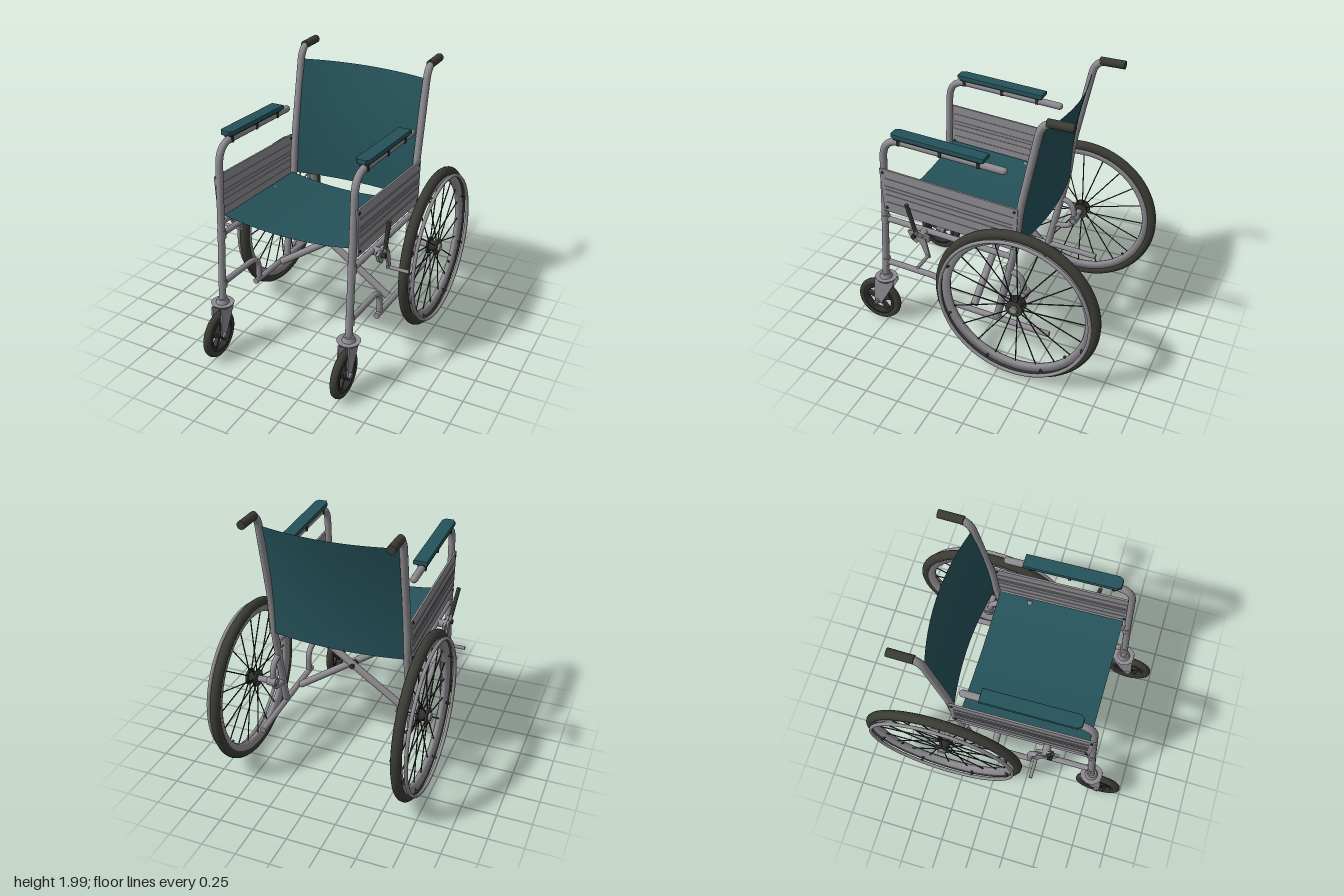
import * as THREE from 'three';

const mat = (name, color, side = THREE.FrontSide) => {
  const m = new THREE.MeshStandardMaterial({ color, side });
  m.name = name;
  return m;
};
const V = (x, y, z) => new THREE.Vector3(x, y, z);

export function createModel() {
  const steel = mat('greySteel', 0x8e8c91);
  const teal = mat('tealVinyl', 0x25525a, THREE.DoubleSide);
  const rubber = mat('darkRubber', 0x3b3b35);
  const dark = mat('darkMetal', 0x2f3032);
  const model = new THREE.Group();
  model.name = 'wheelchair';

  const add = (parent, name, geo, material, x = 0, y = 0, z = 0) => {
    const m = new THREE.Mesh(geo, material);
    m.name = name;
    m.position.set(x, y, z);
    parent.add(m);
    return m;
  };
  // straight rod between two points
  const rod = (parent, name, a, b, r, material, sides = 14) => {
    const d = b.clone().sub(a);
    const m = add(parent, name, new THREE.CylinderGeometry(r, r, d.length(), sides), material);
    m.position.copy(a).add(b).multiplyScalar(0.5);
    m.quaternion.setFromUnitVectors(V(0, 1, 0), d.normalize());
    return m;
  };
  // bent tube: straight runs joined by rounded corners, with closed ends
  const bentTube = (parent, name, pts, r, bend, material) => {
    const path = new THREE.CurvePath();
    let from = pts[0];
    for (let i = 1; i < pts.length - 1; i++) {
      const p = pts[i];
      const toward = (q) => p.clone().add(q.clone().sub(p).setLength(Math.min(bend, q.distanceTo(p) * 0.48)));
      const a = toward(pts[i - 1]), b = toward(pts[i + 1]);
      path.add(new THREE.LineCurve3(from, a));
      path.add(new THREE.QuadraticBezierCurve3(a, p, b));
      from = b;
    }
    const end = pts[pts.length - 1];
    path.add(new THREE.LineCurve3(from, end));
    add(parent, name, new THREE.TubeGeometry(path, 80, r, 14), material);
    for (const p of [pts[0], end]) add(parent, name + 'End', new THREE.SphereGeometry(r, 14, 8), material, p.x, p.y, p.z);
  };
  // plate drawn as [z, y] corners, thickness along x
  const plate = (pts, t) => {
    const s = new THREE.Shape(pts.map(([z, y]) => new THREE.Vector2(z, y)));
    return new THREE.ExtrudeGeometry(s, { depth: t, bevelEnabled: false }).translate(0, 0, -t / 2).rotateY(-Math.PI / 2);
  };
  // ring turned around the x axis from [radius, x] points
  const ring = (pts, seg = 64) =>
    new THREE.LatheGeometry(pts.map(([r, h]) => new THREE.Vector2(r, h)), seg).rotateZ(-Math.PI / 2);
  const hoop = (R, r, seg = 80) => new THREE.TorusGeometry(R, r, 14, seg).rotateY(Math.PI / 2);
  const disc = (r, w, sides = 24) => new THREE.CylinderGeometry(r, r, w, sides).rotateZ(Math.PI / 2);

  // sagging fabric sheets
  const sheet = (rule) => {
    const g = new THREE.PlaneGeometry(2, 1, 24, 8);
    const p = g.attributes.position;
    for (let i = 0; i < p.count; i++) {
      const u = p.getX(i), v = p.getY(i) + 0.5;
      p.setXYZ(i, ...rule(u, v, 1 - u * u));
    }
    g.computeVertexNormals();
    return g;
  };
  add(model, 'seat', sheet((u, v, sag) => [u * 0.5, 1.08 - 0.06 * v - 0.05 * sag, 0.66 - 0.94 * v]), teal);
  add(model, 'backrest', sheet((u, v, sag) =>
    [u * 0.485, 1.0 + 0.88 * v, -0.33 - 0.02 * v - 0.11 * v * v - (0.05 + 0.02 * v) * sag]), teal);

  // folding cross brace
  for (const s of [-1, 1]) {
    const z = s > 0 ? 0.03 : -0.04;
    rod(model, 'crossBrace', V(-0.49 * s, 1.02, z), V(0.47 * s, 0.35, z), 0.027, steel);
  }
  rod(model, 'braceBolt', V(0, 0.68, -0.08), V(0, 0.68, 0.07), 0.018, dark);

  const buildSide = (s) => {
    const side = new THREE.Group();
    side.name = s > 0 ? 'leftSide' : 'rightSide';
    model.add(side);
    const X = 0.503;
    const P = (y, z, x = X) => V(x * s, y, z);

    // frame tubes
    bentTube(side, 'frontPostAndArm', [P(0.42, 0.74), P(1.02, 0.7), P(1.61, 0.67), P(1.56, -0.22)], 0.026, 0.15, steel);
    bentTube(side, 'backPost', [P(0.34, -0.17), P(1.0, -0.31), P(1.28, -0.335), P(1.97, -0.475), P(1.97, -0.66)], 0.027, 0.1, steel);
    rod(side, 'pushGrip', P(1.97, -0.51), P(1.97, -0.69), 0.03, rubber, 18);
    rod(side, 'seatRail', P(1.045, 0.69), P(0.985, -0.31), 0.024, steel);
    rod(side, 'upperRail', P(0.95, 0.7), P(0.895, -0.28), 0.022, steel);
    bentTube(side, 'lowerFrontTube', [P(0.565, 0.72), P(0.54, 0.25), P(0.34, 0.25)], 0.022, 0.12, steel);
    rod(side, 'bottomRail', P(0.345, 0.3), P(0.305, -0.57), 0.022, steel);
    bentTube(side, 'axleLoop', [P(0.79, -0.24), P(0.74, -0.37), P(0.54, -0.37), P(0.52, -0.2)], 0.022, 0.1, steel);
    for (const [y, z] of [[0.95, 0.7], [0.565, 0.725]]) rod(side, 'tubeCollar', P(y - 0.03, z), P(y + 0.03, z - 0.003), 0.031, steel);

    // side guard with pressed ribs and rivets
    const PX = 0.53 * s;
    add(side, 'sideGuard', plate([[0.7, 1.38], [-0.335, 1.31], [-0.32, 0.98], [0.68, 1.04]], 0.014), steel, PX);
    for (const k of [0.2, 0.38, 0.5, 0.58, 0.76]) {
      const a = 1.04 + 0.34 * k, b = 0.98 + 0.33 * k;
      add(side, 'guardRib', plate([[0.66, a], [-0.3, b], [-0.3, b + 0.012], [0.66, a + 0.012]], 0.022), steel, PX);
    }
    for (const [y, z] of [[1.35, 0.675], [1.07, 0.66], [1.285, -0.31], [1.01, -0.3]])
      add(side, 'rivet', disc(0.011, 0.024, 10), dark, PX, y, z);

    // armrest pad and clips
    const pad = new THREE.Shape();
    pad.moveTo(-0.05, -0.345).lineTo(0.05, -0.345).lineTo(0.05, 0.315).lineTo(0.03, 0.345)
      .lineTo(-0.03, 0.345).lineTo(-0.05, 0.315).closePath();
    const padGeo = new THREE.ExtrudeGeometry(pad, { depth: 0.02, bevelSize: 0.008, bevelThickness: 0.008, bevelOffset: -0.008, bevelSegments: 2 })
      .rotateX(Math.PI / 2);
    const arm = add(side, 'armrestPad', padGeo, teal, X * s, 1.651, 0.245);
    arm.rotation.x = -0.055;
    const base = add(side, 'armrestBase', new THREE.BoxGeometry(0.08, 0.008, 0.64), dark, X * s, 1.62, 0.245);
    base.rotation.x = -0.055;
    for (const z of [0.54, 0.23, -0.05])
      add(side, 'armrestClip', new THREE.BoxGeometry(0.06, 0.06, 0.022), dark, X * s, 1.585 + z * 0.055, z);

    // rear wheel
    const wheel = new THREE.Group();
    wheel.name = 'rearWheel';
    wheel.position.set(0.655 * s, 0.615, -0.378);
    side.add(wheel);
    add(wheel, 'tire', hoop(0.572, 0.036), rubber);
    add(wheel, 'rim', ring([[0.55, -0.028], [0.505, -0.02], [0.498, 0], [0.505, 0.02], [0.55, 0.028], [0.55, -0.028]].reverse()), steel);
    add(wheel, 'handRim', hoop(0.552, 0.013), steel, 0.062 * s);
    for (let i = 0; i < 20; i++) {
      const a = (i / 20) * Math.PI * 2, c = Math.cos(a), d = Math.sin(a);
      rod(wheel, 'spoke', V((i % 2 ? 0.028 : -0.028), c * 0.04, d * 0.04), V(0, c * 0.51, d * 0.51), 0.0045, dark, 6);
    }
    for (let i = 0; i < 8; i++) {
      const a = ((i + 0.5) / 8) * Math.PI * 2, c = Math.cos(a), d = Math.sin(a);
      rod(wheel, 'handRimPeg', V(0.015 * s, c * 0.53, d * 0.53), V(0.06 * s, c * 0.55, d * 0.55), 0.009, dark, 8);
    }
    rod(wheel, 'valve', V(0, -0.36, -0.41), V(0, -0.325, -0.36), 0.009, dark, 8);
    add(wheel, 'hub', disc(0.04, 0.08), dark);
    for (const x of [-0.033, 0.033]) add(wheel, 'hubFlange', disc(0.063, 0.014), rubber, x);
    add(wheel, 'hubNut', disc(0.03, 0.02, 6), steel, 0.048 * s);
    rod(side, 'axle', P(0.615, -0.378, 0.46), P(0.615, -0.378, 0.63), 0.023, steel);
    rod(side, 'axleCollar', P(0.615, -0.378, 0.47), P(0.615, -0.378, 0.54), 0.034, steel);

    // caster: cup, fork and five-spoke wheel
    const caster = new THREE.Group();
    caster.name = 'frontCaster';
    caster.position.set(X * s, 0.187, 0.81);
    side.add(caster);
    add(caster, 'casterTire', ring([[0.125, -0.022], [0.155, -0.027], [0.171, -0.018], [0.176, 0], [0.171, 0.018],
      [0.155, 0.027], [0.125, 0.022], [0.115, 0], [0.125, -0.022]], 40), rubber);
    add(caster, 'casterRim', ring([[0.13, -0.024], [0.13, 0.024], [0.105, 0.024], [0.105, -0.024], [0.13, -0.024]], 40), dark);
    add(caster, 'casterHub', disc(0.035, 0.056), dark);
    for (let i = 0; i < 5; i++) {
      const spoke = add(caster, 'casterSpoke', new THREE.BoxGeometry(0.03, 0.1, 0.026).translate(0, 0.065, 0), rubber);
      spoke.rotation.x = (i / 5) * Math.PI * 2;
    }
    add(caster, 'casterAxle', disc(0.013, 0.13, 12), steel);
    for (const k of [-1, 1]) {
      add(caster, 'forkBlade', plate([[0.01, 0.22], [-0.15, 0.22], [-0.145, 0.185], [-0.035, -0.01], [0, -0.025], [0.025, 0]], 0.01), steel, 0.038 * k);
      add(caster, 'axleNut', disc(0.022, 0.016, 6), steel, 0.051 * k);
    }
    add(caster, 'forkCrown', new THREE.CylinderGeometry(0.083, 0.07, 0.022, 28), steel, 0, 0.22, -0.07);
    add(caster, 'forkBearing', new THREE.CylinderGeometry(0.036, 0.05, 0.035, 20), steel, 0, 0.245, -0.07);

    // parking brake
    add(side, 'brakePlate', plate([[0.48, 0.95], [0.43, 0.97], [0.31, 0.94], [0.31, 0.9], [0.38, 0.9], [0.41, 0.86], [0.45, 0.89]], 0.02), steel, 0.575 * s);
    rod(side, 'brakeClamp', P(0.925, 0.38), P(0.925, 0.38, 0.6), 0.03, steel);
    rod(side, 'brakePivot', P(0.93, 0.42, 0.55), P(0.93, 0.42, 0.615), 0.018, dark);
    rod(side, 'brakeLever', P(0.95, 0.4, 0.6), P(1.0, 0.405, 0.605), 0.013, steel);
    rod(side, 'brakeHandle', P(0.98, 0.405, 0.603), P(1.21, 0.44, 0.64), 0.015, rubber);
    add(side, 'brakeArm', plate([[0.4, 0.94], [0.33, 0.93], [0.3, 0.78], [0.33, 0.78], [0.36, 0.86]], 0.014), steel, 0.597 * s);
    rod(side, 'brakeShoe', P(0.787, 0.32, 0.58), P(0.787, 0.32, 0.745), 0.013, steel);
  };
  buildSide(1);
  buildSide(-1);
  return model;
}
